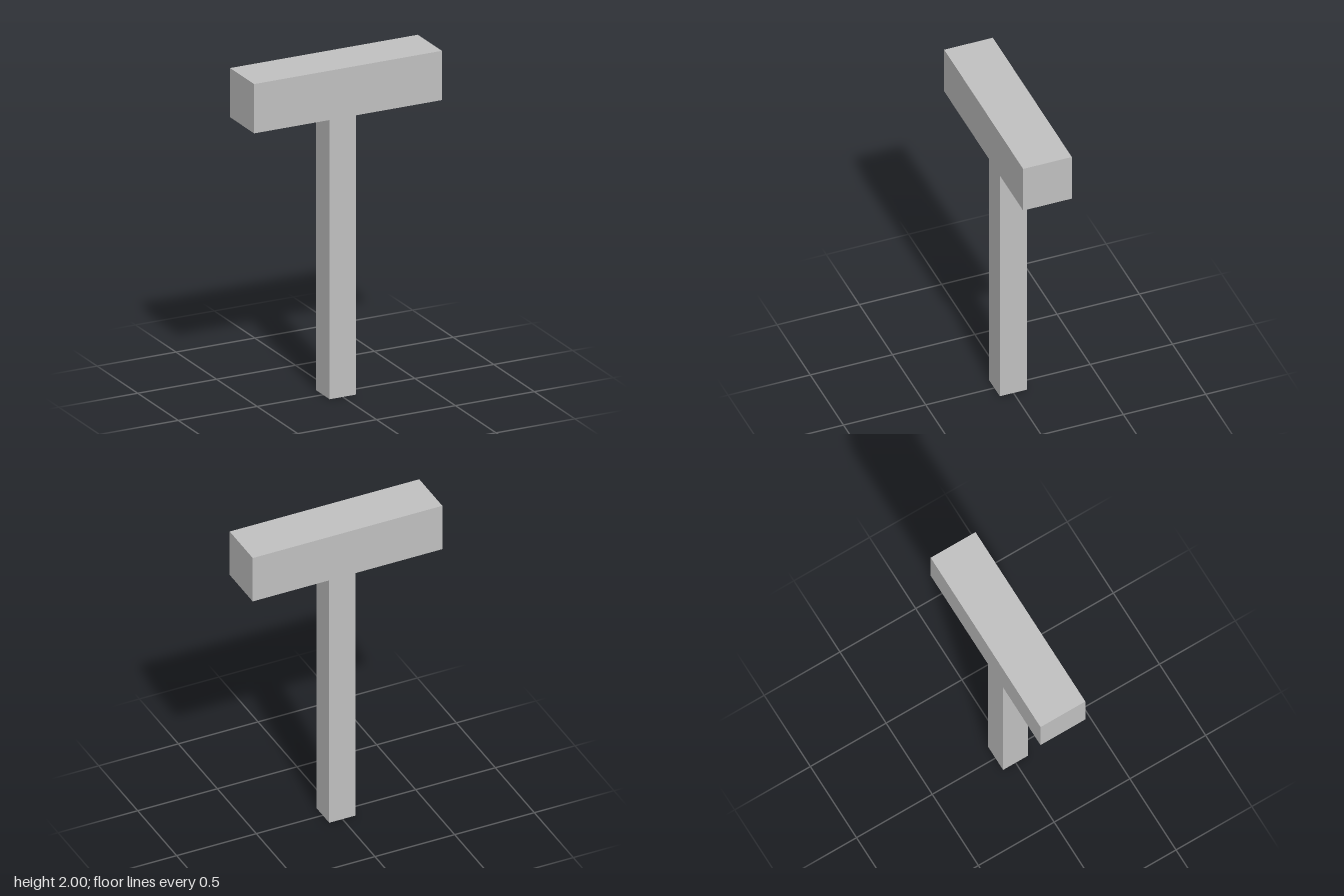
import * as THREE from 'three';

export function createModel() {
  const model = new THREE.Group();
  model.name = 'mallet';

  const grey = new THREE.MeshStandardMaterial({ color: 0xc0c0c0 });
  grey.name = 'plain grey';

  const addBlock = (name, width, height, depth, bottom) => {
    const block = new THREE.Mesh(new THREE.BoxGeometry(width, height, depth), grey);
    block.name = name;
    block.position.y = bottom + height / 2;
    model.add(block);
  };

  // Square upright handle, with the wide block head resting on top
  const handleHeight = 1.704;
  addBlock('handle', 0.166, handleHeight, 0.166, 0);
  addBlock('head', 1.19, 2 - handleHeight, 0.296, handleHeight);

  return model;
}
